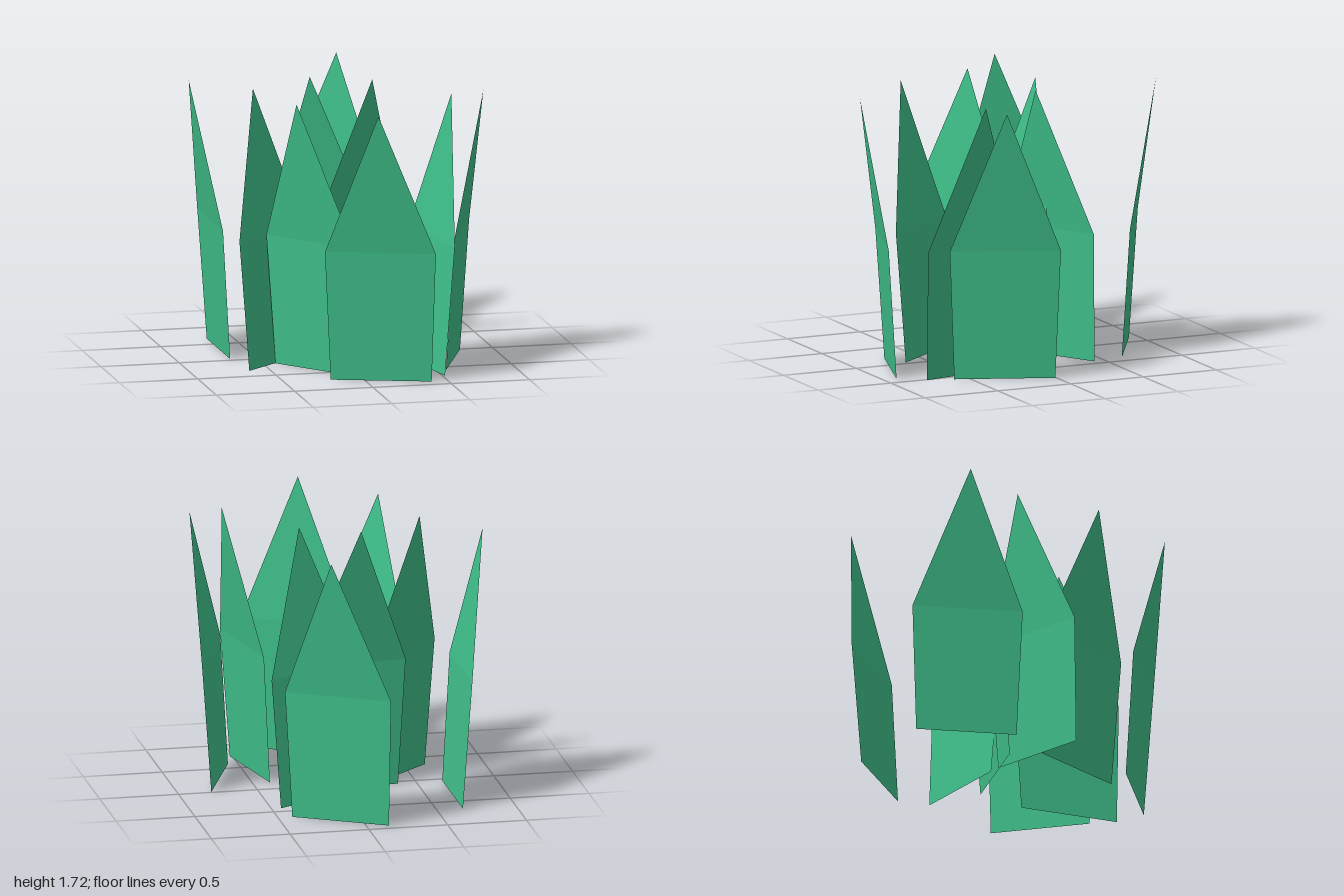
import * as THREE from 'three';

// One leaf blade: a flat lower panel and a pointed upper panel, leaning towards local +z.
function bladeGeometry() {
  const baseHalf = 0.315, midHalf = 0.346;
  const midY = 0.82, tipY = 1.715;
  const midLean = 0.053, tipLean = 0.19;
  const geometry = new THREE.BufferGeometry();
  geometry.setAttribute('position', new THREE.Float32BufferAttribute([
    -baseHalf, 0, 0,
    baseHalf, 0, 0,
    midHalf, midY, midLean,
    -midHalf, midY, midLean,
    0, tipY, tipLean,
  ], 3));
  geometry.setIndex([0, 1, 2, 0, 2, 3, 3, 2, 4]);
  const flat = geometry.toNonIndexed();
  flat.computeVertexNormals();
  return flat;
}

// Base centre x, z and the direction of the lean in degrees
const blades = [
  [0.135, -0.785, 150.6],
  [-0.665, -0.355, -90],
  [0.165, -0.275, 29.4],
  [-0.072, -0.09, -171.4],
  [-0.399, 0.128, -137.9],
  [-0.225, 0.4, -51.5],
  [0.097, 0.811, -18.4],
  [0.677, 0.3, 68.8],
  [0.454, 0.45, 101.5],
];

export function createModel() {
  const clump = new THREE.Group();
  clump.name = 'grassClump';
  const geometry = bladeGeometry();
  const material = new THREE.MeshStandardMaterial({
    color: 0x3fbf8a, flatShading: true, side: THREE.DoubleSide,
  });
  blades.forEach(([x, z, degrees], i) => {
    const blade = new THREE.Mesh(geometry, material);
    blade.name = `blade${i + 1}`;
    blade.position.set(x, 0, z);
    blade.rotation.y = THREE.MathUtils.degToRad(degrees);
    clump.add(blade);
  });
  return clump;
}
